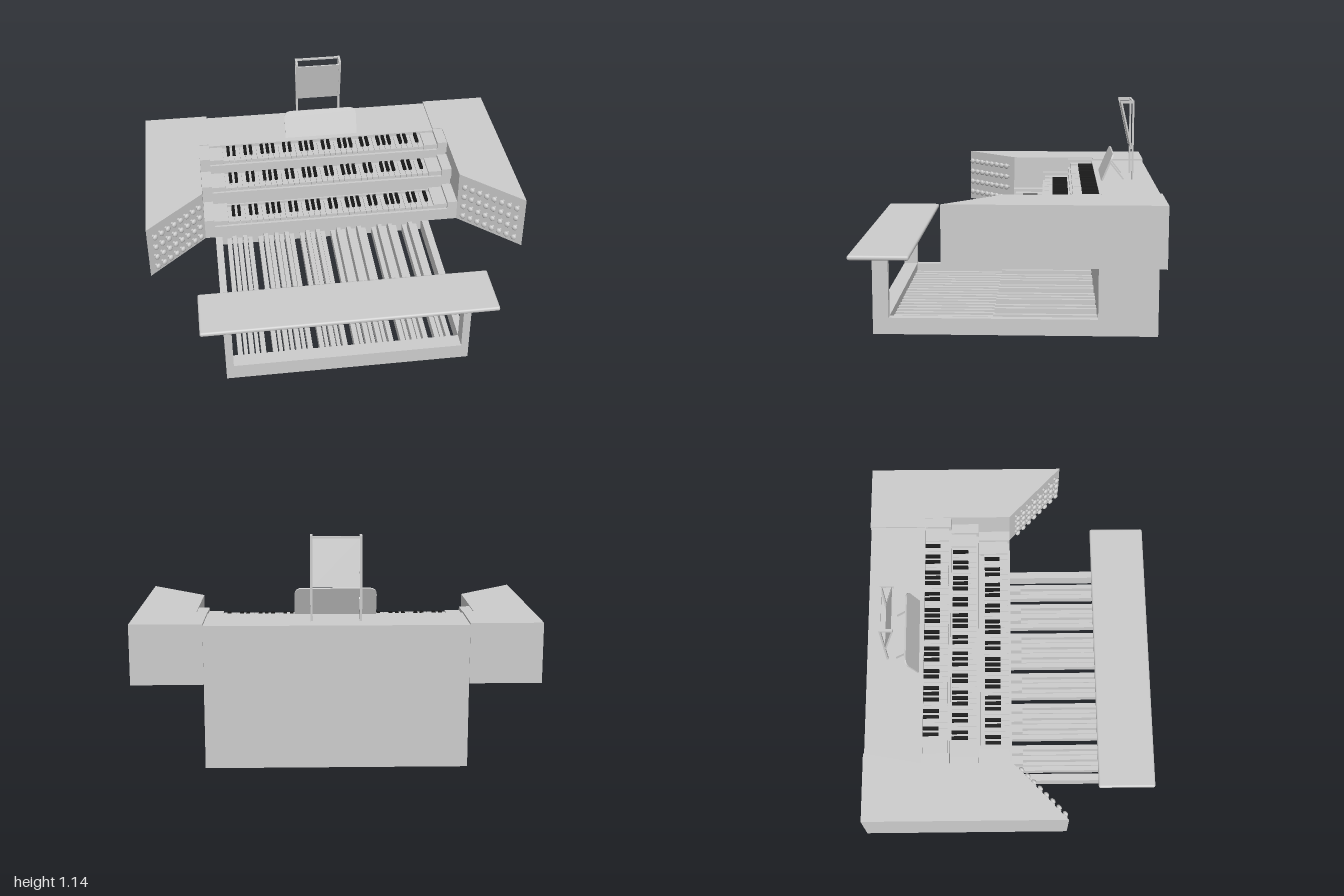
import * as THREE from 'three';
import { RoundedBoxGeometry } from 'three/addons/geometries/RoundedBoxGeometry.js';

const grey = new THREE.MeshStandardMaterial({ color: 0xcccccc });
const black = new THREE.MeshStandardMaterial({ color: 0x161616 });

export function createModel() {
  const model = new THREE.Group();
  model.name = 'organConsole';

  const group = (name) => {
    const g = new THREE.Group();
    g.name = name;
    model.add(g);
    return g;
  };
  const add = (parent, name, geometry, material = grey) => {
    const m = new THREE.Mesh(geometry, material);
    m.name = name;
    parent.add(m);
    return m;
  };
  // Box given by its limits on each axis
  const box = (parent, name, x0, x1, y0, y1, z0, z1, material) => {
    const m = add(parent, name, new THREE.BoxGeometry(Math.abs(x1 - x0), y1 - y0, z1 - z0), material);
    m.position.set((x0 + x1) / 2, (y0 + y1) / 2, (z0 + z1) / 2);
    return m;
  };
  // Bar of width w and thickness t between two [y, z] points
  const bar = (parent, name, x, w, t, [y0, z0], [y1, z1]) => {
    const m = add(parent, name, new THREE.BoxGeometry(w, Math.hypot(y1 - y0, z1 - z0), t));
    m.position.set(x, (y0 + y1) / 2, (z0 + z1) / 2);
    m.rotation.x = Math.atan2(z1 - z0, y1 - y0);
    return m;
  };

  // Rear case down to the floor
  const cabinet = group('cabinet');
  box(cabinet, 'rearCase', -0.645, 0.645, 0.005, 0.72, -0.765, -0.465);

  // Side wings with angled stop jambs
  const outline = [[0.645, -0.77], [1, -0.77], [1, 0.285], [0.7, 0], [0.7, -0.47], [0.645, -0.47]];
  const stem = new THREE.CylinderGeometry(0.008, 0.008, 0.016, 10).rotateX(Math.PI / 2);
  const head = new THREE.SphereGeometry(0.016, 14, 10).scale(1, 1, 0.65);
  for (const s of [-1, 1]) {
    const wing = group(s > 0 ? 'leftWing' : 'rightWing');
    const shape = new THREE.Shape(outline.map(([x, z]) => new THREE.Vector2(s * x, -z)));
    const body = add(wing, 'wingCase',
      new THREE.ExtrudeGeometry(shape, { depth: 0.3, bevelEnabled: false }).rotateX(-Math.PI / 2));
    body.position.y = 0.43;
    for (let row = 0; row < 4; row++) {
      for (let col = 0; col < 8; col++) {
        const t = 0.12 + col * 0.111;
        const knob = new THREE.Group();
        knob.name = 'stopKnob';
        knob.position.set(s * (0.7 + 0.3 * t), 0.48 + row * 0.064, 0.285 * t);
        knob.rotation.y = -s * Math.atan2(0.285, 0.3);
        add(knob, 'knobStem', stem).position.z = 0.008;
        add(knob, 'knobHead', head).position.z = 0.02;
        wing.add(knob);
      }
    }
  }

  // Three stepped keyboards
  const whites = 36, pitch = 1.14 / whites;
  const whiteKey = new THREE.BoxGeometry(pitch * 0.94, 0.018, 0.135);
  const blackKey = new THREE.BoxGeometry(0.017, 0.016, 0.085);
  const tiers = [[0.5, 0, -0.175], [0.6, -0.175, -0.325], [0.68, -0.325, -0.47]];
  tiers.forEach(([y, front, back], i) => {
    const manual = group('keyboard' + (i + 1));
    box(manual, 'keyBed', -0.7, 0.7, 0.43, y - 0.02, -0.47, front - 0.022);
    box(manual, 'keySlip', -0.7, 0.7, y - (i ? 0.02 : 0.07), y, back, front);
    box(manual, 'backRail', -0.57, 0.57, y, y + 0.02, back, back + 0.008);
    for (const s of [-1, 1]) {
      box(manual, 'innerCheek', s * 0.57, s * 0.648, y, y + 0.028, back, front - 0.012);
      box(manual, 'outerCheek', s * 0.645, s * 0.705, y, y + 0.045, back, front);
    }
    for (let k = 0; k < whites; k++) {
      const x = -0.57 + k * pitch;
      add(manual, 'whiteKey', whiteKey).position.set(x + pitch / 2, y + 0.011, front - 0.0795);
      if (k && ![3, 6].includes(k % 7)) {
        add(manual, 'blackKey', blackKey, black).position.set(x, y + 0.026, front - 0.1);
      }
    }
  });

  // Pedal board frame and bench
  const frame = group('pedalFrame');
  box(frame, 'frontRail', -0.645, 0.645, 0.005, 0.09, 0.585, 0.665);
  for (const s of [-1, 1]) {
    box(frame, 'sideRail', s * 0.605, s * 0.645, 0.005, 0.09, -0.465, 0.585);
  }
  const bench = group('bench');
  for (const s of [-1, 1]) {
    box(bench, 'benchLeg', s * 0.605, s * 0.645, 0.09, 0.41, 0.585, 0.665);
  }
  add(bench, 'seat', new RoundedBoxGeometry(1.53, 0.024, 0.305, 3, 0.01)).position.set(0, 0.42, 0.6175);

  // Pedals: long naturals, with raised sharps between them
  const pedals = group('pedals');
  const naturals = 19, step = 1.19 / naturals;
  for (let k = 0; k < naturals; k++) {
    const x = -0.595 + (k + 0.5) * step;
    box(pedals, 'naturalPedal', x - 0.013, x + 0.013, 0, 0.05, -0.465, 0.585);
    if (k < naturals - 1 && ![2, 6].includes(k % 7)) {
      const c = x + step / 2;
      box(pedals, 'sharpPedal', c - 0.01, c + 0.01, 0, 0.035, -0.465, 0.585);
      box(pedals, 'sharpBlock', c - 0.012, c + 0.012, 0.035, 0.085, -0.465, 0.065);
    }
  }

  // Music desk with rounded upper corners
  const desk = group('musicDesk');
  const w = 0.205, h = 0.152, r = 0.04;
  const plate = new THREE.Shape();
  plate.moveTo(-w, 0);
  plate.lineTo(w, 0);
  plate.lineTo(w, h - r);
  plate.quadraticCurveTo(w, h, w - r, h);
  plate.lineTo(-w + r, h);
  plate.quadraticCurveTo(-w, h, -w, h - r);
  const rest = add(desk, 'deskPlate',
    new THREE.ExtrudeGeometry(plate, { depth: 0.009, bevelEnabled: false }));
  rest.position.set(0, 0.722, -0.497);
  rest.rotation.x = -0.4;
  for (const s of [-1, 1]) {
    bar(desk, 'deskStrut', s * 0.12, 0.008, 0.007, [0.815, -0.535], [0.722, -0.61]);
  }

  // Tilted panel on two posts behind the desk
  const stand = group('panelStand');
  for (const s of [-1, 1]) {
    box(stand, 'post', s * 0.115, s * 0.127, 0.72, 1.14, -0.662, -0.652);
    box(stand, 'topArm', s * 0.115, s * 0.127, 1.125, 1.14, -0.655, -0.59);
    bar(stand, 'panelSide', s * 0.121, 0.012, 0.009, [1.13, -0.595], [0.885, -0.651]);
  }
  bar(stand, 'panel', 0, 0.234, 0.006, [1.12, -0.598], [0.885, -0.651]);
  box(stand, 'crossBar', -0.115, 0.115, 1.128, 1.138, -0.662, -0.652);

  return model;
}
